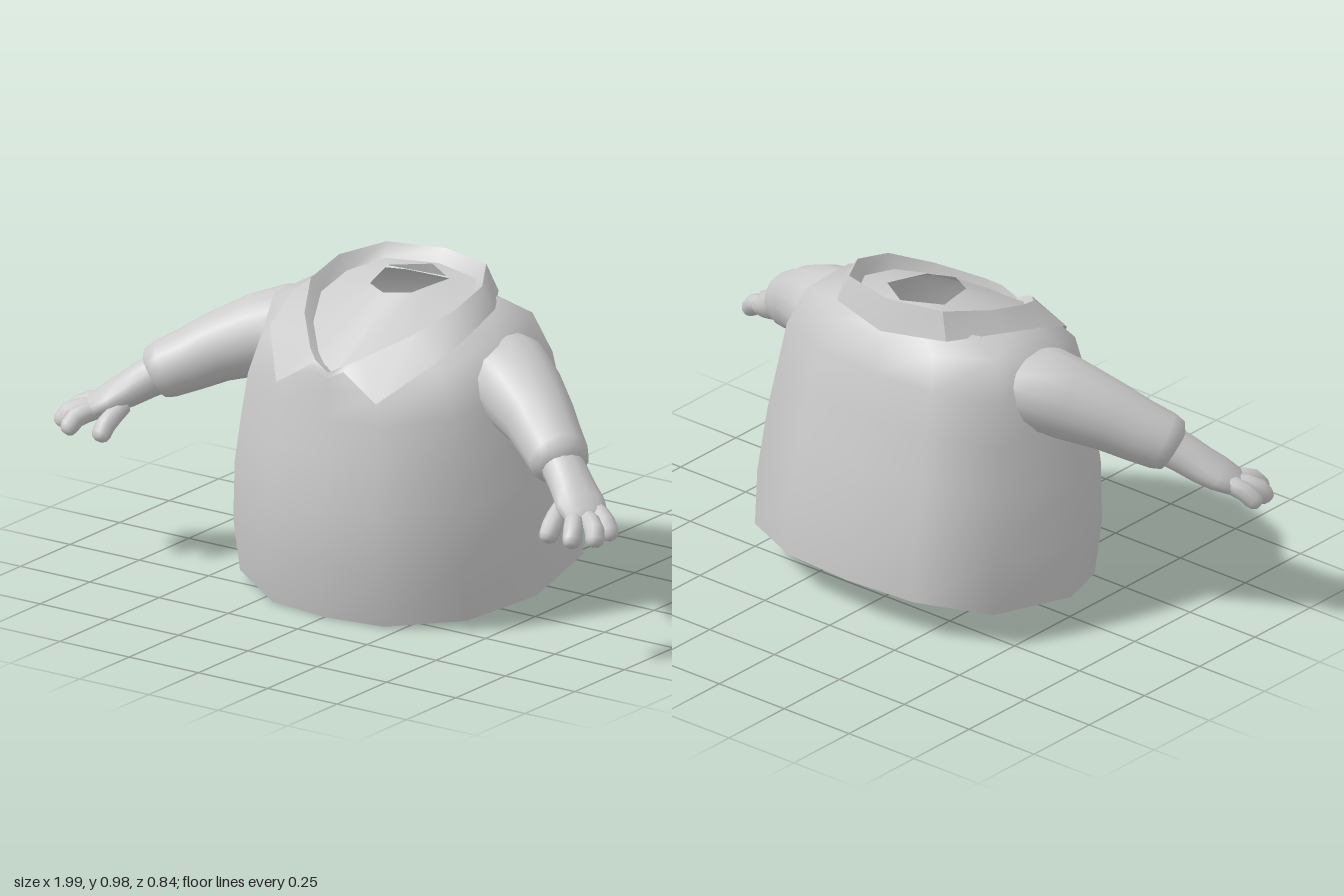
import * as THREE from 'three';
import { toCreasedNormals } from 'three/addons/utils/BufferGeometryUtils.js';

const material = new THREE.MeshStandardMaterial({ color: 0xcccccc, side: THREE.DoubleSide });

// Skin a stack of closed rings, smooth normals
function loft(rings, flip = false) {
  const n = rings[0].length, index = [];
  for (let r = 0; r < rings.length - 1; r++) {
    for (let c = 0; c < n; c++) {
      const a = r * n + c, b = r * n + (c + 1) % n;
      if (flip) index.push(a, b + n, b, a, a + n, b + n);
      else index.push(a, b, b + n, a, b + n, a + n);
    }
  }
  const geometry = new THREE.BufferGeometry();
  geometry.setAttribute('position', new THREE.Float32BufferAttribute(rings.flat(2), 3));
  geometry.setIndex(index);
  geometry.computeVertexNormals();
  return geometry;
}

// Half ring, front centre to back centre, completed by mirroring in x
const mirrorRing = half =>
  [...half, ...half.slice(1, -1).reverse().map(([x, y, z]) => [-x, y, z])];

// Tube through sections [x, y, z, horizontal radius, vertical radius]
function limb(sections, side, sides) {
  const centres = sections.map(s => new THREE.Vector3(s[0], s[1], s[2]));
  const rings = sections.map((s, i) => {
    const t = centres[Math.min(i + 1, centres.length - 1)].clone()
      .sub(centres[Math.max(i - 1, 0)]).normalize();
    const u = new THREE.Vector3(0, 1, 0).cross(t).normalize();
    const v = t.clone().cross(u);
    return Array.from({ length: sides }, (_, k) => {
      const a = k / sides * Math.PI * 2;
      const p = centres[i].clone().addScaledVector(u, Math.cos(a) * s[3])
        .addScaledVector(v, Math.sin(a) * s[4]);
      return [p.x * side, p.y, p.z];
    });
  });
  return loft(rings, side < 0);
}

function part(name, geometry, parent) {
  const mesh = new THREE.Mesh(geometry, material);
  mesh.name = name;
  parent.add(mesh);
}

export function createModel() {
  const model = new THREE.Group();
  model.name = 'torso';

  // Shirt body: a boxy-backed cross-section, tilted and scaled up the body
  const outline = [[0, 1], [0.4, 0.95], [0.81, 0.63], [1, 0.076], [0.91, -0.68], [0.48, -0.95], [0, -1]];
  // [half width, front z, front y, back z, back y, side rise]
  const levels = [
    [0.505, 0.365, 0, -0.425, 0.12, 0.01],
    [0.508, 0.40, 0.17, -0.415, 0.30, 0],
    [0.495, 0.40, 0.35, -0.375, 0.50, 0],
    [0.475, 0.38, 0.50, -0.345, 0.63, 0],
    [0.455, 0.36, 0.61, -0.315, 0.76, 0.02],
    [0.40, 0.345, 0.70, -0.275, 0.85, 0.075],
    [0.25, 0.335, 0.75, -0.235, 0.89, 0.075],
  ];
  part('shirtBody', loft(levels.map(([w, zf, yf, zb, yb, rise]) =>
    mirrorRing(outline.map(([tx, tz]) => {
      const f = (1 + tz) / 2;
      return [w * tx, yb + (yf - yb) * f + rise * (1 - tz * tz), zb + (zf - zb) * f];
    })))), model);

  // Collar: pointed lower edge, folded top edge, inner edge
  const collarLower = [[0, 0.735, 0.35], [0.06, 0.766, 0.352], [0.18, 0.69, 0.357], [0.30, 0.805, 0.22],
    [0.325, 0.862, 0.08], [0.305, 0.895, -0.07], [0.21, 0.893, -0.22], [0, 0.88, -0.272]];
  const collarTop = [[0, 0.752, 0.348], [0.05, 0.778, 0.34], [0.09, 0.80, 0.31], [0.19, 0.86, 0.20],
    [0.26, 0.92, 0.07], [0.258, 0.955, -0.07], [0.18, 0.975, -0.20], [0, 0.977, -0.245]];
  const collarInner = [[0, 0.742, 0.322], [0.035, 0.765, 0.318], [0.075, 0.785, 0.29], [0.165, 0.835, 0.19],
    [0.23, 0.88, 0.06], [0.23, 0.91, -0.07], [0.165, 0.935, -0.17], [0, 0.94, -0.21]];
  part('collar', toCreasedNormals(
    loft([collarLower, collarTop, collarInner].map(mirrorRing)), 0.7), model);

  // Neck: rises inside the collar to a small open rim
  const neckRim = [[0, 0.925, 0.07], [0.03, 0.926, 0.055], [0.055, 0.927, 0.04], [0.075, 0.928, 0.03],
    [0.09, 0.934, -0.03], [0.11, 0.94, -0.11], [0.055, 0.943, -0.145], [0, 0.946, -0.18]];
  part('neck', loft([collarInner, neckRim].map(mirrorRing)), model);

  // Arms and hands
  const digits = {
    outerFinger: [[0.87, 0.478, 0.235], [0.94, 0.455, 0.268], [0.985, 0.41, 0.29]],
    middleFinger: [[0.87, 0.465, 0.275], [0.945, 0.445, 0.325], [0.967, 0.40, 0.352]],
    innerFinger: [[0.85, 0.46, 0.295], [0.895, 0.445, 0.36], [0.913, 0.40, 0.398]],
    thumb: [[0.79, 0.475, 0.27], [0.805, 0.435, 0.34], [0.808, 0.39, 0.375]],
  };
  for (const [label, side] of [['left', 1], ['right', -1]]) {
    const arm = new THREE.Group();
    arm.name = label + 'Arm';
    model.add(arm);

    part('sleeve', limb([
      [0.28, 0.745, -0.05, 0.15, 0.10],
      [0.38, 0.725, -0.01, 0.15, 0.125],
      [0.47, 0.695, 0.03, 0.13, 0.122],
      [0.58, 0.65, 0.09, 0.108, 0.105],
      [0.65, 0.61, 0.135, 0.098, 0.095],
      [0.71, 0.58, 0.175, 0.092, 0.088],
      [0.735, 0.567, 0.19, 0.082, 0.078],
      [0.745, 0.56, 0.197, 0.05, 0.05],
    ], side, 16), arm);

    part('hand', limb([
      [0.71, 0.575, 0.175, 0.065, 0.062],
      [0.76, 0.545, 0.205, 0.066, 0.058],
      [0.81, 0.51, 0.235, 0.07, 0.052],
      [0.85, 0.485, 0.262, 0.078, 0.044],
      [0.89, 0.462, 0.287, 0.068, 0.034],
      [0.91, 0.45, 0.30, 0.03, 0.015],
      [0.912, 0.449, 0.301, 0.001, 0.001],
    ], side, 14), arm);

    for (const [name, points] of Object.entries(digits)) {
      const path = new THREE.CatmullRomCurve3(points.map(p => new THREE.Vector3(...p)));
      const sections = [[0, 0.024], [0.3, 0.029], [0.55, 0.03], [0.8, 0.029], [0.93, 0.023], [0.99, 0.012], [1, 0.001]]
        .map(([t, r]) => [...path.getPoint(t).toArray(), r, r]);
      part(name, limb(sections, side, 10), arm);
    }
  }
  return model;
}
